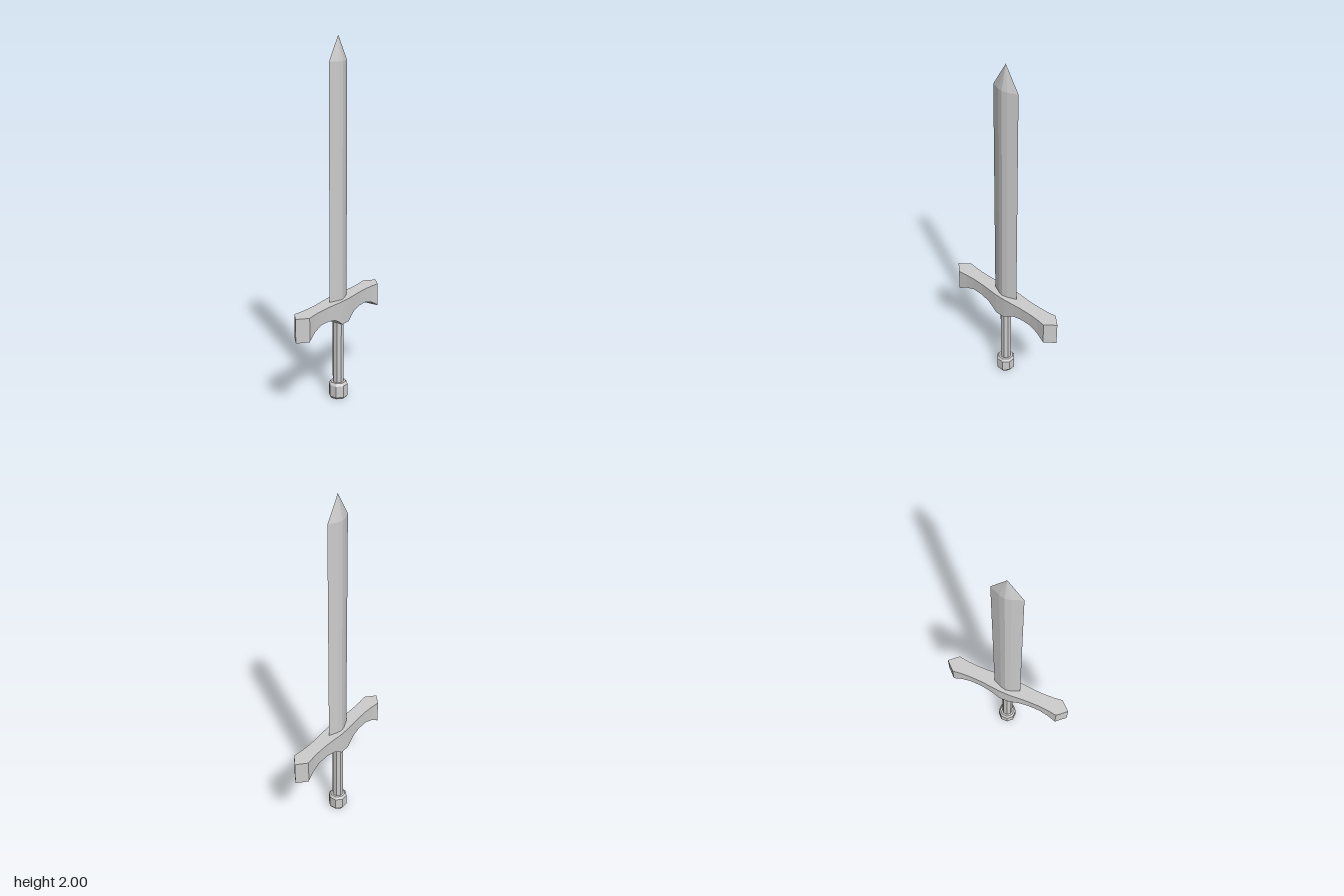
import * as THREE from 'three';

// Skin a list of equal-sized rings, each counter-clockwise seen from the far end
function loft(rings) {
  const n = rings[0].length;
  const index = [];
  for (let r = 0; r < rings.length - 1; r++) {
    for (let i = 0; i < n; i++) {
      const a = r * n + i, b = r * n + (i + 1) % n;
      index.push(a, b, b + n, a, b + n, a + n);
    }
  }
  const last = (rings.length - 1) * n;
  for (let i = 1; i < n - 1; i++) {
    index.push(0, i + 1, i, last, last + i, last + i + 1);
  }
  const indexed = new THREE.BufferGeometry();
  indexed.setAttribute('position', new THREE.Float32BufferAttribute(rings.flat(2), 3));
  indexed.setIndex(index);
  const geometry = indexed.toNonIndexed();
  geometry.computeVertexNormals();
  return geometry;
}

// Eight-sided turned part with flats facing front and side; radius is to the flats
function turned(profile) {
  const points = profile.map(([r, y]) => new THREE.Vector2(r / Math.cos(Math.PI / 8), y));
  return new THREE.LatheGeometry(points, 8, Math.PI / 8);
}

export function createModel() {
  const model = new THREE.Group();
  model.name = 'sword';
  const steel = new THREE.MeshStandardMaterial({ color: 0xcccccc, flatShading: true });
  steel.name = 'light grey steel';

  const add = (name, geometry) => {
    const mesh = new THREE.Mesh(geometry, steel);
    mesh.name = name;
    model.add(mesh);
  };

  // Blade: lens section, straight up to the shoulder, then drawn to a point
  const section = [[0.029, 0], [0.022, -0.03], [0, -0.082], [-0.022, -0.03],
    [-0.029, 0], [-0.022, 0.03], [0, 0.082], [0.022, 0.03]];
  const bladeRing = (y, s) => section.map(([x, z]) => [x * s, y, z * s]);
  add('blade', loft([bladeRing(0.55, 1), bladeRing(1.87, 1), bladeRing(2, 0)]));

  // Crossguard: [z, half width, underside height], mirrored front to back
  const half = [[0.03, 0.05, 0.455], [0.06, 0.048, 0.478], [0.095, 0.045, 0.498],
    [0.15, 0.041, 0.508], [0.22, 0.04, 0.508], [0.275, 0.043, 0.49],
    [0.33, 0.05, 0.459], [0.33, 0.05, 0.455], [0.385, 0, 0.455]];
  const stations = [...half.map(([z, w, y]) => [-z, w, y]).reverse(), ...half];
  const top = 0.588;
  add('crossguard', loft(stations.map(([z, w, y]) =>
    [[w, y, z], [w, top, z], [-w, top, z], [-w, y, z]])));

  // Grip and pommel
  add('grip', turned([[0.029, 0.08], [0.029, 0.47]]));
  add('pommel', turned([[0, 0], [0.043, 0], [0.05, 0.012], [0.05, 0.08], [0.04, 0.094], [0, 0.094]]));

  return model;
}
